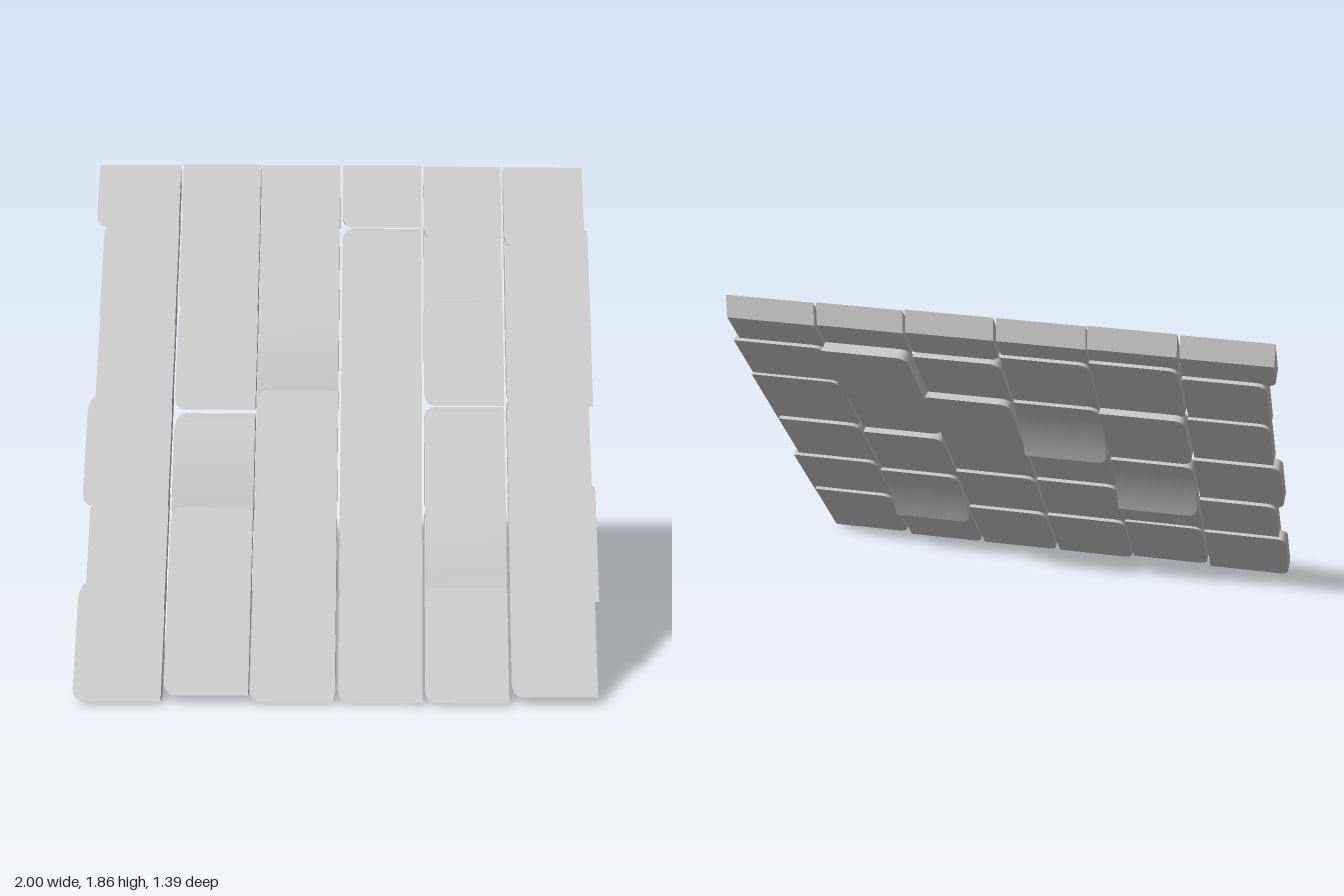
import * as THREE from 'three';

const SLOPE = 1.2;      // rise over run of a single shingle
const DEPTH = 0.075;    // horizontal thickness
const LENGTH = 0.36;    // vertical extent of a full shingle
const BACK = -0.7;      // plane that trims the ridge row
const RADIUS = 0.04;

// left and right edge of each column
const columns = [
  [-1, -0.665], [-0.655, -0.335], [-0.33, -0.008],
  [0.003, 0.324], [0.333, 0.65], [0.66, 0.985],
];

// height of the lower lip, by column then row
const lips = [
  [0.01, 0.305, 0.645, 0.97, 1.27, 1.625],
  [0.03, 0.27, 0.58, 0.97, 1.32, 1.65],
  [0.01, 0.335, 0.67, 0.97, 1.3, 1.625],
  [0.01, 0.335, 0.665, 0.97, 1.245, 1.625],
  [0.01, 0.275, 0.605, 0.99, 1.27, 1.585],
  [0.03, 0.335, 0.645, 0.99, 1.24, 1.555],
];

// sagging shingles: how far the lower end sinks
const sag = { '1,2': 0.075, '2,3': 0.075, '4,1': 0.06 };
// shingles lying slightly deeper than their neighbours
const deep = { '4,4': 0.045, '1,3': 0.02, '3,3': 0.025 };

// One shingle: a box with rounded left corners, sheared to the slope
function shingle(x0, x1, y0, z0, length, trimmed, sink) {
  const r = RADIUS;
  const corner = [0, 0.04, 0.15, 0.3, 0.55, 1].map(t => t * r);
  const middle = [];
  for (let i = 1; i < 12; i++) middle.push(r + (length - 2 * r) * i / 12);
  const levels = [...corner, ...middle, ...corner.map(v => length - v).reverse()];
  const n = levels.length - 1;
  const geometry = new THREE.BoxGeometry(1, 1, 1, 1, n, 1);
  const p = geometry.attributes.position;
  for (let i = 0; i < p.count; i++) {
    const front = p.getZ(i) > 0;
    let v = levels[Math.round((p.getY(i) + 0.5) * n)];
    // rounded corners at the left edge
    const edge = trimmed ? v : Math.min(v, length - v);
    const d = Math.max(0, r - edge);
    const inset = r - Math.sqrt(Math.max(0, r * r - d * d));
    const x = p.getX(i) < 0 ? x0 + inset : x1;
    // vertical cut along the ridge
    if (trimmed && !front) v *= (length - DEPTH * SLOPE) / length;
    const t = 1 - v / length;
    const z = z0 - v / SLOPE - (front ? 0 : DEPTH) - sink * t * t;
    const undercut = front ? 0 : 0.01 * t;
    p.setXYZ(i, x, y0 + v - undercut, z);
  }
  geometry.computeVertexNormals();
  return geometry;
}

export function createModel() {
  const roof = new THREE.Group();
  roof.name = 'shingleRoof';
  const material = new THREE.MeshStandardMaterial({ color: 0xcccccc });

  columns.forEach(([left, right], c) => {
    const column = new THREE.Group();
    column.name = `shingleColumn${c + 1}`;
    lips[c].forEach((y, row) => {
      const key = `${c},${row}`;
      const ridge = row === 5;
      const z = 0.697 - 0.743 * y - (deep[key] || 0);
      const length = ridge ? (z - BACK) * SLOPE : LENGTH;
      // staggered outer edges
      const x0 = c === 0 && [1, 3, 4].includes(row) ? -0.97 : left;
      const x1 = c === 5 && [1, 3, 4].includes(row) ? 1 : right;
      const mesh = new THREE.Mesh(shingle(x0, x1, y, z, length, ridge, sag[key] || 0), material);
      mesh.name = ridge ? 'ridgeShingle' : sag[key] ? 'saggingShingle' : 'shingle';
      column.add(mesh);
    });
    roof.add(column);
  });
  return roof;
}
